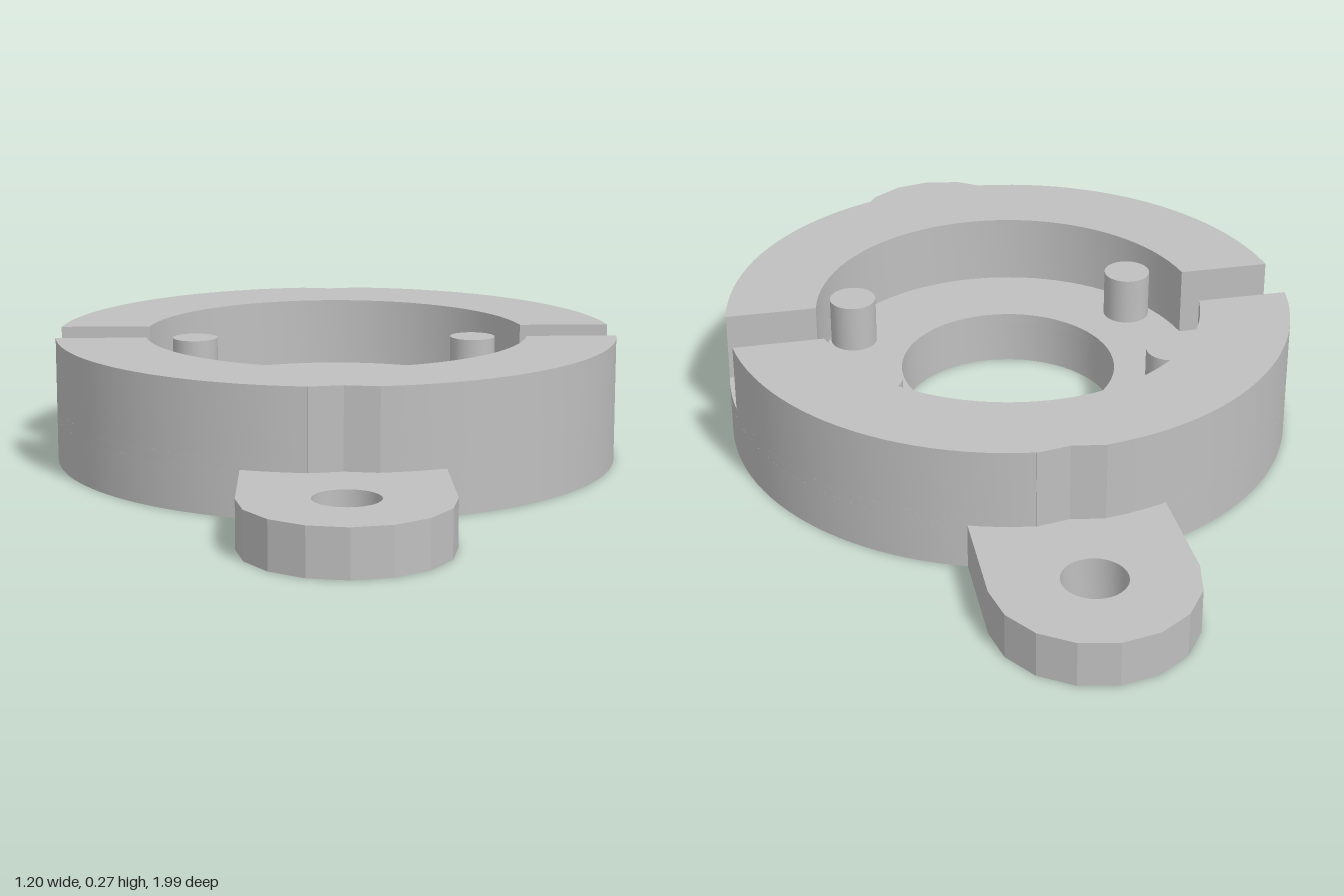
import * as THREE from 'three';
import { toCreasedNormals } from 'three/addons/utils/BufferGeometryUtils.js';

const R = 0.6, RIM_INNER = 0.41, BORE = 0.23;
const LUG_Z = 0.79, LUG_R = 0.205;
const LUG_TOP = 0.096, FLOOR = 0.117, TOP = 0.265;
const SLOT = 0.068; // half width of the side slots
const DIP = 0.117, DIP_ARC = 0.346; // half angles of the relief beside each lug

// Points along an arc, seen in plan
function arc(cy, r, a0, a1, n) {
  return Array.from({ length: n + 1 }, (_, i) => {
    const a = a0 + ((a1 - a0) * i) / n;
    return new THREE.Vector2(r * Math.cos(a), cy + r * Math.sin(a));
  });
}

const flip = (points) => points.map((p) => new THREE.Vector2(-p.x, -p.y));

// Extrudes a plan outline upward between two heights
function slab(name, outline, holes, y0, y1, material) {
  const shape = new THREE.Shape(outline);
  for (const [cy, r, n] of holes) {
    shape.holes.push(new THREE.Path(arc(cy, r, 0, -Math.PI * 2, n).slice(0, -1)));
  }
  const geometry = new THREE.ExtrudeGeometry(shape, { depth: y1 - y0, bevelEnabled: false });
  geometry.rotateX(-Math.PI / 2);
  geometry.translate(0, y0, 0);
  const mesh = new THREE.Mesh(toCreasedNormals(geometry, 0.3), material);
  mesh.name = name;
  return mesh;
}

// Outer edge over one half, dented by the round relief around the lug
function dentedEdge(start) {
  const mid = Math.PI / 2;
  return [
    ...arc(0, R, start, mid - DIP, 24),
    ...arc(LUG_Z, LUG_R, -mid + DIP_ARC, -mid - DIP_ARC, 2).slice(0, 3),
    ...arc(0, R, mid + DIP, Math.PI - start, 24),
  ];
}

export function createModel() {
  const group = new THREE.Group();
  const grey = new THREE.MeshStandardMaterial({ color: 0xbfbfbf });
  grey.name = 'grey';

  // Base plate: disc with two mounting lugs
  const lugAngle = Math.acos(0.2 / R);
  const baseHalf = [
    ...arc(0, R, 0, lugAngle, 24),
    ...arc(LUG_Z, LUG_R, 0, Math.PI, 8),
    ...arc(0, R, Math.PI - lugAngle, Math.PI, 24).slice(0, -1),
  ];
  group.add(slab('basePlate', [...baseHalf, ...flip(baseHalf)],
    [[0, BORE, 64], [LUG_Z, 0.066, 32], [-LUG_Z, 0.066, 32]], 0, LUG_TOP, grey));

  // Floor of the cup
  const floorHalf = dentedEdge(0).slice(0, -1);
  group.add(slab('cupFloor', [...floorHalf, ...flip(floorHalf)],
    [[0, BORE, 64]], LUG_TOP, FLOOR, grey));

  // Two rim halves separated by the side slots
  const inner = Math.asin(SLOT / RIM_INNER);
  const rimHalf = [
    ...dentedEdge(Math.asin(SLOT / R)),
    ...arc(0, RIM_INNER, Math.PI - inner, inner, 40),
  ];
  group.add(slab('backRim', rimHalf, [], FLOOR, TOP, grey));
  group.add(slab('frontRim', flip(rimHalf), [], FLOOR, TOP, grey));

  // Four locating pins
  const pinTop = 0.22;
  const pinGeometry = new THREE.CylinderGeometry(0.05, 0.05, pinTop - FLOOR, 28);
  for (const x of [-0.31, 0.31]) {
    for (const z of [-0.18, 0.18]) {
      const pin = new THREE.Mesh(pinGeometry, grey);
      pin.name = 'locatingPin';
      pin.position.set(x, (pinTop + FLOOR) / 2, z);
      group.add(pin);
    }
  }
  return group;
}
